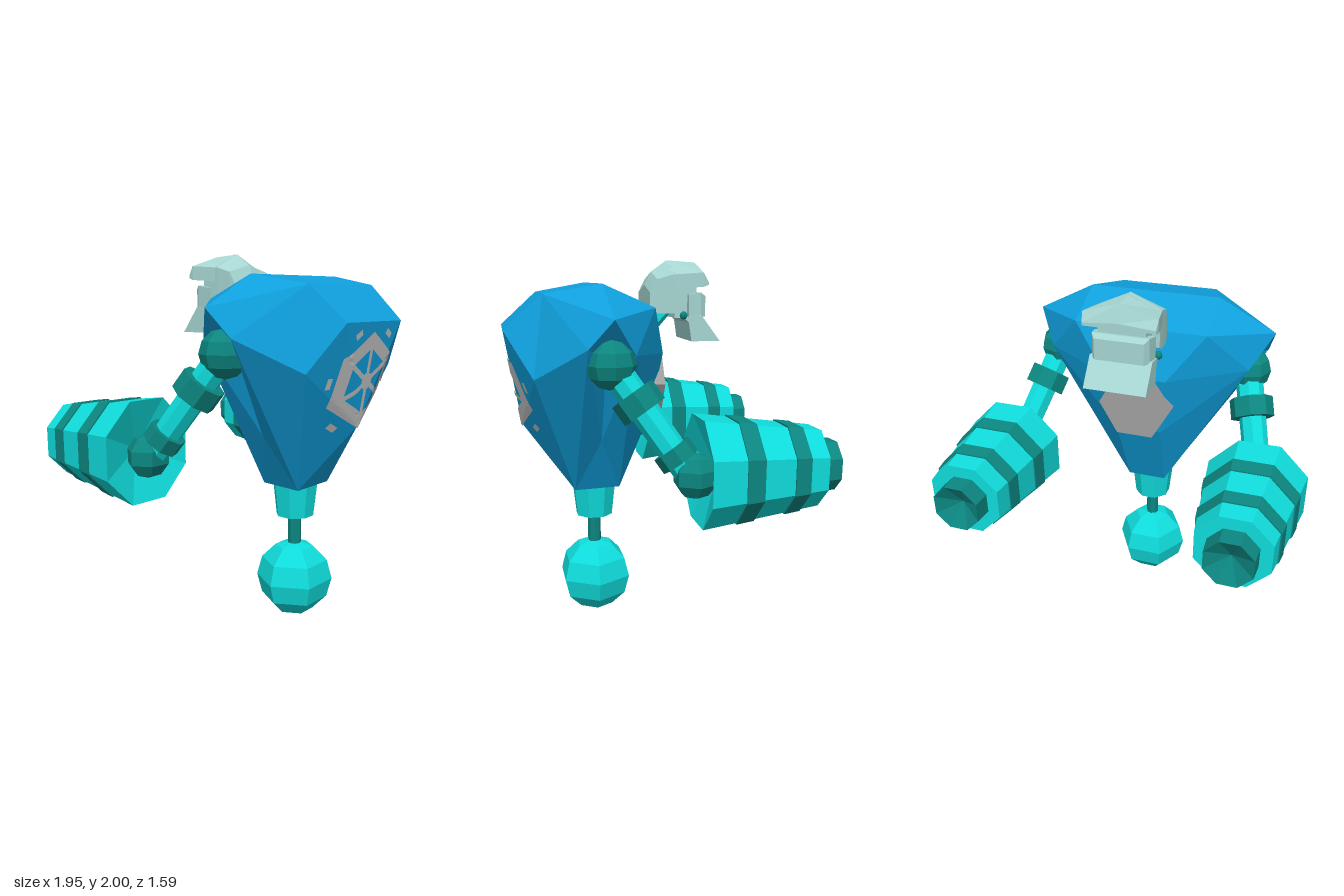
import * as THREE from 'three';

const mat = (name, color) => {
  const m = new THREE.MeshStandardMaterial({ color, flatShading: true });
  m.name = name;
  return m;
};
const blue = mat('blue', 0x0f9fdc);
const teal = mat('teal', 0x10dcdc);
const darkTeal = mat('dark teal', 0x0c8680);
const pale = mat('pale teal', 0xa6d6d2);
const silver = mat('silver', 0xc2c2c2);
const grey = mat('grey', 0xa0a0a0);
const V = (x, y, z) => new THREE.Vector3(x, y, z);

function add(parent, name, geometry, material, x = 0, y = 0, z = 0) {
  const mesh = new THREE.Mesh(geometry, material);
  mesh.name = name;
  mesh.position.set(x, y, z);
  parent.add(mesh);
  return mesh;
}

// Prism running between two points
function limb(parent, name, a, b, r1, r2, sides, material) {
  const dir = b.clone().sub(a);
  const mesh = add(parent, name, new THREE.CylinderGeometry(r2, r1, dir.length(), sides), material);
  mesh.position.copy(a).lerp(b, 0.5);
  mesh.quaternion.setFromUnitVectors(V(0, 1, 0), dir.normalize());
}

// Triangles turned to face away from a centre point
function outward(tris, centre) {
  const pos = [];
  for (const [a, b, c] of tris) {
    const n = b.clone().sub(a).cross(c.clone().sub(a));
    const mid = a.clone().add(b).add(c).divideScalar(3).sub(centre);
    for (const p of n.dot(mid) < 0 ? [a, c, b] : [a, b, c]) pos.push(p.x, p.y, p.z);
  }
  const g = new THREE.BufferGeometry();
  g.setAttribute('position', new THREE.Float32BufferAttribute(pos, 3));
  g.computeVertexNormals();
  return g;
}

// Key corners of the +x half of the torso
const P = {
  topMid: V(0.365, 1.88, 0.3), topFront: V(0.28, 1.83, 0.59), chestTop: V(0.25, 1.65, 0.79),
  topBack: V(0.365, 1.76, 0.03), tip: V(0.68, 1.72, 0.29), sideFront: V(0.635, 1.58, 0.41),
  sideBack: V(0.57, 1.54, 0.17), socket: V(0.48, 1.53, 0.3), chestSide: V(0.38, 1.41, 0.65),
  chestLow: V(0, 1.12, 0.7), flank: V(0.27, 1.06, 0.3), backHigh: V(0.17, 1.51, -0.055),
  backLow: V(0.13, 1.17, 0.01), baseFront: V(0.135, 0.76, 0.43), baseBack: V(0.11, 0.76, 0.18),
};
const flip = p => V(-p.x, p.y, p.z);

function torsoGeometry() {
  const half = [
    'topMid topFront tip', 'topFront chestTop chestSide', 'topFront chestSide sideFront',
    'topFront sideFront tip', 'topMid tip topBack', 'topBack tip sideBack', 'tip sideFront socket',
    'tip socket sideBack', 'sideFront flank socket', 'sideBack socket flank',
    'chestTop chestSide chestLow', 'chestSide chestLow baseFront', 'sideFront chestSide baseFront',
    'sideFront baseFront flank', 'flank baseFront baseBack', 'sideBack flank baseBack',
    'topBack backHigh sideBack', 'backHigh backLow sideBack', 'backLow baseBack sideBack',
  ].map(s => s.split(' ').map(k => P[k]));
  const tris = [...half, ...half.map(t => t.map(flip))];
  // Faces crossing the centre line
  const strip = ['chestTop', 'topFront', 'topMid', 'topBack', 'backHigh', 'backLow', 'baseBack', 'baseFront'];
  for (let i = 0; i < strip.length - 1; i++) {
    const a = P[strip[i]], b = P[strip[i + 1]];
    tris.push([a, b, flip(a)], [b, flip(b), flip(a)]);
  }
  tris.push([P.chestTop, flip(P.chestTop), P.chestLow], [P.baseFront, flip(P.baseFront), P.chestLow]);
  return outward(tris, V(0, 1.35, 0.33));
}

// Height of the folded chest surface, used to lay thin ornament pieces on it
const chestPlanes = [
  [P.chestTop, flip(P.chestTop), P.chestLow],
  [P.chestTop, P.chestSide, P.chestLow],
  [P.chestSide, P.chestLow, P.baseFront],
].map(t => new THREE.Plane().setFromCoplanarPoints(...t));
const chestZ = (x, y) => Math.min(...chestPlanes.map(
  ({ normal: n, constant: c }) => -(n.x * Math.abs(x) + n.y * y + c) / n.z));

function drape(parent, name, map) {
  const g = new THREE.PlaneGeometry(1, 1, 8, 8);
  const p = g.attributes.position;
  for (let i = 0; i < p.count; i++) {
    const [x, y] = map(p.getX(i) + 0.5, p.getY(i) + 0.5);
    p.setXYZ(i, x, y + 1.355, chestZ(x, y + 1.355) + 0.007);
  }
  g.computeVertexNormals();
  add(parent, name, g, silver);
}

function chestOrnament(parent) {
  const bar = (a, r0, r1, w) => (u, v) => {
    const r = r0 + (r1 - r0) * v, s = (u - 0.5) * w;
    return [Math.cos(a) * r + Math.sin(a) * s, Math.sin(a) * r - Math.cos(a) * s];
  };
  for (let k = 0; k < 6; k++) {
    const a = Math.PI / 2 - k * Math.PI / 3, b = a - Math.PI / 3;
    drape(parent, 'chestRing', (u, v) => {
      const r = 0.165 + 0.08 * v;
      return [r * (Math.cos(a) * (1 - u) + Math.cos(b) * u), r * (Math.sin(a) * (1 - u) + Math.sin(b) * u)];
    });
    drape(parent, 'chestSpoke', bar(a, 0, 0.175, 0.026));
    drape(parent, 'chestHub', bar(a, 0, 0.04, 0.046));
    const side = k % 3 === 1;
    drape(parent, 'chestDash', bar(a - Math.PI / 6, side ? 0.235 : 0.255, side ? 0.26 : 0.285, 0.055));
  }
}

// Head sections along z: [z, halfWidth, bottom, sideTop, ridge]
function loft(sections) {
  const rings = sections.map(([z, w, bot, side, ridge]) =>
    [V(-w, bot, z), V(w, bot, z), V(w, side, z), V(0, ridge, z), V(-w, side, z)]);
  const tris = [];
  for (let i = 0; i < rings.length - 1; i++) {
    for (let j = 0; j < 5; j++) {
      const k = (j + 1) % 5, a = rings[i], b = rings[i + 1];
      tris.push([a[j], a[k], b[j]], [a[k], b[k], b[j]]);
    }
  }
  for (const r of [rings[0], rings[rings.length - 1]])
    for (let j = 1; j < 4; j++) tris.push([r[0], r[j], r[j + 1]]);
  const centre = V(0, 0, 0);
  rings.flat().forEach(p => centre.add(p));
  return outward(tris, centre.divideScalar(rings.length * 5));
}

function head(parent) {
  const g = new THREE.Group();
  g.name = 'head';
  parent.add(g);
  limb(g, 'neck', V(0, 1.62, 0.04), V(0, 1.75, -0.1), 0.07, 0.05, 6, teal);
  add(g, 'skull', loft([[0.012, 0.155, 1.74, 1.83, 1.87], [-0.025, 0.16, 1.72, 1.9, 1.94],
    [-0.11, 0.165, 1.72, 1.925, 2.0], [-0.15, 0.165, 1.74, 1.925, 2.0]]), pale);
  add(g, 'brow', loft([[-0.12, 0.168, 1.85, 1.925, 2.0], [-0.27, 0.195, 1.86, 1.935, 1.99],
    [-0.3, 0.19, 1.87, 1.885, 1.9]]), pale);
  add(g, 'face', new THREE.BoxGeometry(0.25, 0.17, 0.12), pale, 0, 1.78, -0.19);
  add(g, 'mouthGuard', loft([[-0.2, 0.16, 1.7, 1.82, 1.82], [-0.27, 0.15, 1.7, 1.83, 1.83],
    [-0.3, 0.13, 1.7, 1.81, 1.81]]), pale);
  // Wedge-shaped chin
  const chin = new THREE.Shape([[0.17, 1.7], [0.27, 1.71], [0.375, 1.57], [0.215, 1.57], [0.2, 1.67]]
    .map(p => new THREE.Vector2(...p)));
  const cg = new THREE.ExtrudeGeometry(chin, { depth: 0.33, bevelEnabled: false });
  add(g, 'chin', cg.rotateY(Math.PI / 2).translate(-0.165, 0, 0), pale);
  for (const s of [-1, 1])
    add(g, 'jawHinge', new THREE.SphereGeometry(0.022, 8, 6), darkTeal, s * 0.165, 1.71, -0.17);
}

function arm(s) {
  const g = new THREE.Group();
  g.name = s > 0 ? 'leftArm' : 'rightArm';
  const a = V(s * 0.555, 1.5, 0.29), b = V(s * 0.725, 0.96, -0.075);
  const at = t => a.clone().lerp(b, t);
  add(g, 'shoulder', new THREE.SphereGeometry(0.125, 8, 6), darkTeal, a.x, a.y, a.z);
  limb(g, 'upperArm', at(0.1), at(0.95), 0.075, 0.07, 8, teal);
  limb(g, 'upperCollar', at(0.25), at(0.41), 0.118, 0.118, 8, darkTeal);
  limb(g, 'lowerCollar', at(0.73), at(0.85), 0.1, 0.1, 8, darkTeal);
  add(g, 'elbow', new THREE.SphereGeometry(0.115, 6, 5), darkTeal, b.x, b.y + 0.015, b.z - 0.01);

  // Octagonal forearm pointing backwards, in coloured bands
  const forearm = new THREE.Group();
  forearm.name = 'forearm';
  forearm.position.set(s * 0.71, 0.995, 0);
  g.add(forearm);
  const turn = (name, pts, m) => add(forearm, name, new THREE.LatheGeometry(
    pts.map(p => new THREE.Vector2(...p)), 8, Math.PI / 8).rotateX(-Math.PI / 2), m);
  const R = d => 0.287 - 0.135 * (d - 0.1);
  turn('forearmFunnel', [[0, 0.2], [R(0.1), 0.1]], teal);
  for (const [d0, d1] of [[0.1, 0.27], [0.36, 0.52], [0.6, 0.7]])
    turn('forearmShell', [[R(d0), d0], [R(d1), d1]], teal);
  for (const [d0, d1] of [[0.27, 0.36], [0.52, 0.6]])
    turn('forearmBand', [[R(d0), d0], [R(d0) + 0.008, d0], [R(d1) + 0.008, d1], [R(d1), d1]], darkTeal);
  turn('forearmEnd', [[R(0.7), 0.7], [0.135, 0.7]], teal);
  turn('muzzle', [[0.138, 0.7], [0.132, 0.8], [0, 0.72]], darkTeal);
  return g;
}

export function createModel() {
  const model = new THREE.Group();
  const body = new THREE.Group();
  body.name = 'body';
  body.position.x = -0.007;
  model.add(body);

  add(body, 'torso', torsoGeometry(), blue);
  chestOrnament(body);
  // Hexagonal plate on the back
  add(body, 'backPlate', new THREE.CylinderGeometry(0.203, 0.203, 0.13, 6, 1, false, Math.PI / 2)
    .rotateX(Math.PI / 2), grey, 0, 1.345, 0.003);
  head(body);

  // Waist, pole and the ball it stands on
  add(body, 'waist', new THREE.CylinderGeometry(0.125, 0.105, 0.18, 8, 1, false, Math.PI / 8), teal, 0, 0.67, 0.31);
  add(body, 'pole', new THREE.CylinderGeometry(0.037, 0.037, 0.18, 8), darkTeal, 0, 0.5, 0.31);
  add(body, 'ball', new THREE.SphereGeometry(0.212, 6, 6), teal, 0, 0.215, 0.31);

  model.add(arm(1), arm(-1));
  return model;
}
